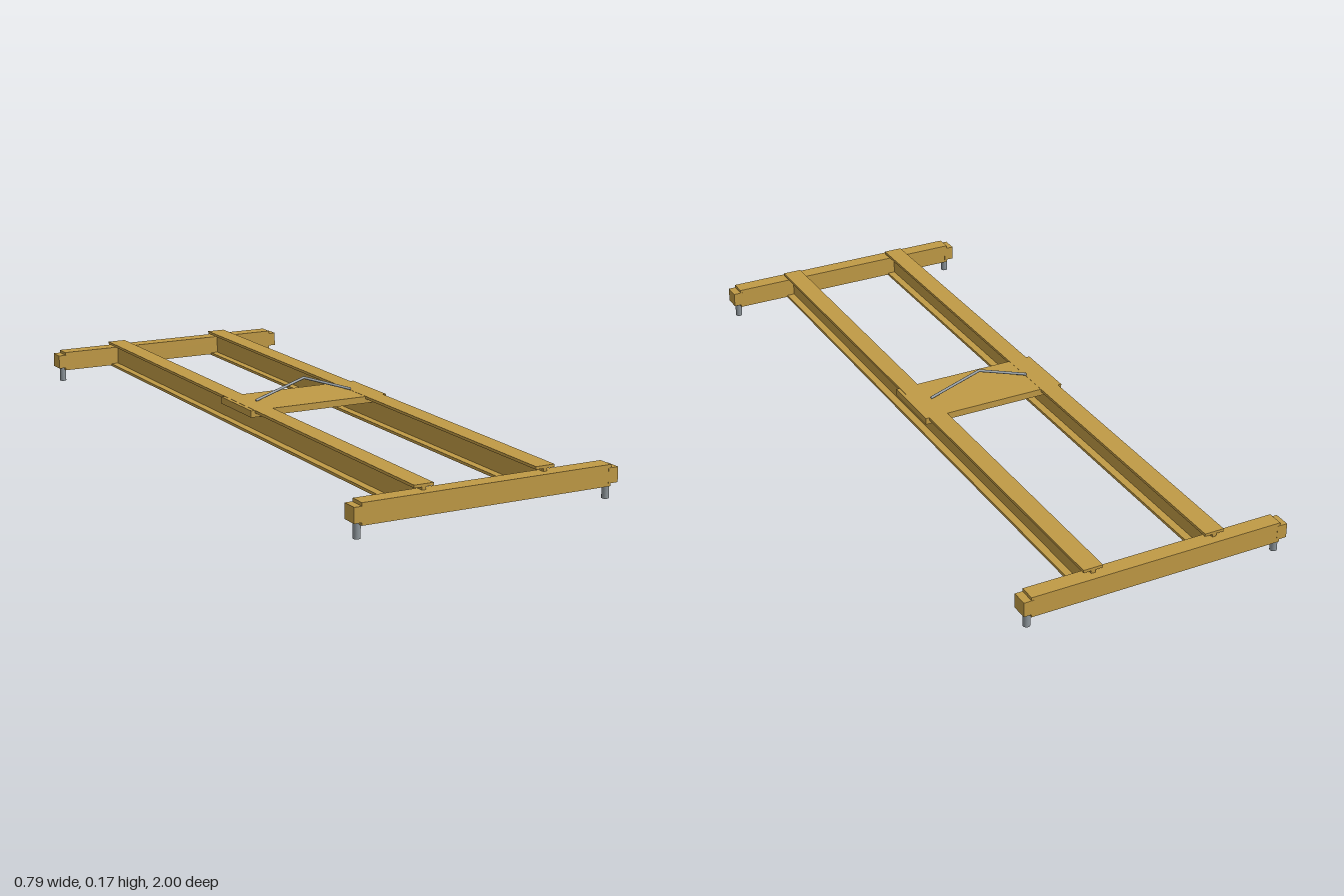
import * as THREE from 'three';

const gold = new THREE.MeshStandardMaterial({ color: 0xc09a45 });
const steel = new THREE.MeshStandardMaterial({ color: 0x8c9499 });

function add(parent, name, geometry, material, x, y, z) {
  const mesh = new THREE.Mesh(geometry, material);
  mesh.name = name;
  mesh.position.set(x, y, z);
  parent.add(mesh);
  return mesh;
}

// I-beam running along z, centred on the origin
function iBeam(width, height, web, flange, length) {
  const w = width / 2, h = height / 2, t = web / 2, f = h - flange;
  const outline = [
    [-w, -h], [w, -h], [w, -f], [t, -f], [t, f], [w, f],
    [w, h], [-w, h], [-w, f], [-t, f], [-t, -f], [-w, -f],
  ].map(([x, y]) => new THREE.Vector2(x, y));
  const geometry = new THREE.ExtrudeGeometry(new THREE.Shape(outline), { depth: length, bevelEnabled: false });
  return geometry.translate(0, 0, -length / 2);
}

// Cylinder between two points
function rod(parent, name, a, b, radius) {
  const mid = a.clone().add(b).multiplyScalar(0.5);
  const dir = b.clone().sub(a);
  const mesh = add(parent, name, new THREE.CylinderGeometry(radius, radius, dir.length(), 12), steel, mid.x, mid.y, mid.z);
  mesh.quaternion.setFromUnitVectors(new THREE.Vector3(0, 1, 0), dir.normalize());
}

export function createModel() {
  const model = new THREE.Group();
  model.name = 'spreaderFrame';

  // Long I-section rails
  const railGeometry = iBeam(0.057, 0.078, 0.012, 0.008, 1.95);
  for (const s of [-1, 1]) add(model, s > 0 ? 'leftRail' : 'rightRail', railGeometry, gold, s * 0.182, 0.074, 0);

  // Cross beams with reduced end caps and round feet
  for (const sz of [-1, 1]) {
    const end = new THREE.Group();
    end.name = sz > 0 ? 'frontCrossBeam' : 'backCrossBeam';
    end.position.z = sz * 0.976;
    model.add(end);
    add(end, 'beam', new THREE.BoxGeometry(0.746, 0.059, 0.047), gold, 0, 0.0675, 0);
    for (const sx of [-1, 1]) {
      add(end, 'endCap', new THREE.BoxGeometry(0.03, 0.042, 0.048), gold, sx * 0.38, 0.067, 0);
      add(end, 'foot', new THREE.CylinderGeometry(0.01, 0.01, 0.055, 20), steel, sx * 0.374, 0.0275, 0);
    }
  }

  // Central plate joining the rails
  add(model, 'centrePlate', new THREE.BoxGeometry(0.444, 0.02, 0.196), gold, 0, 0.1025, 0);

  // Peaked lifting handle
  const handle = new THREE.Group();
  handle.name = 'handle';
  model.add(handle);
  const peak = new THREE.Vector3(0, 0.166, 0);
  for (const s of [-1, 1]) rod(handle, 'handleRod', new THREE.Vector3(s * 0.157, 0.115, 0), peak, 0.004);
  add(handle, 'peakJoint', new THREE.SphereGeometry(0.004, 12, 8), steel, 0, 0.166, 0);

  return model;
}
